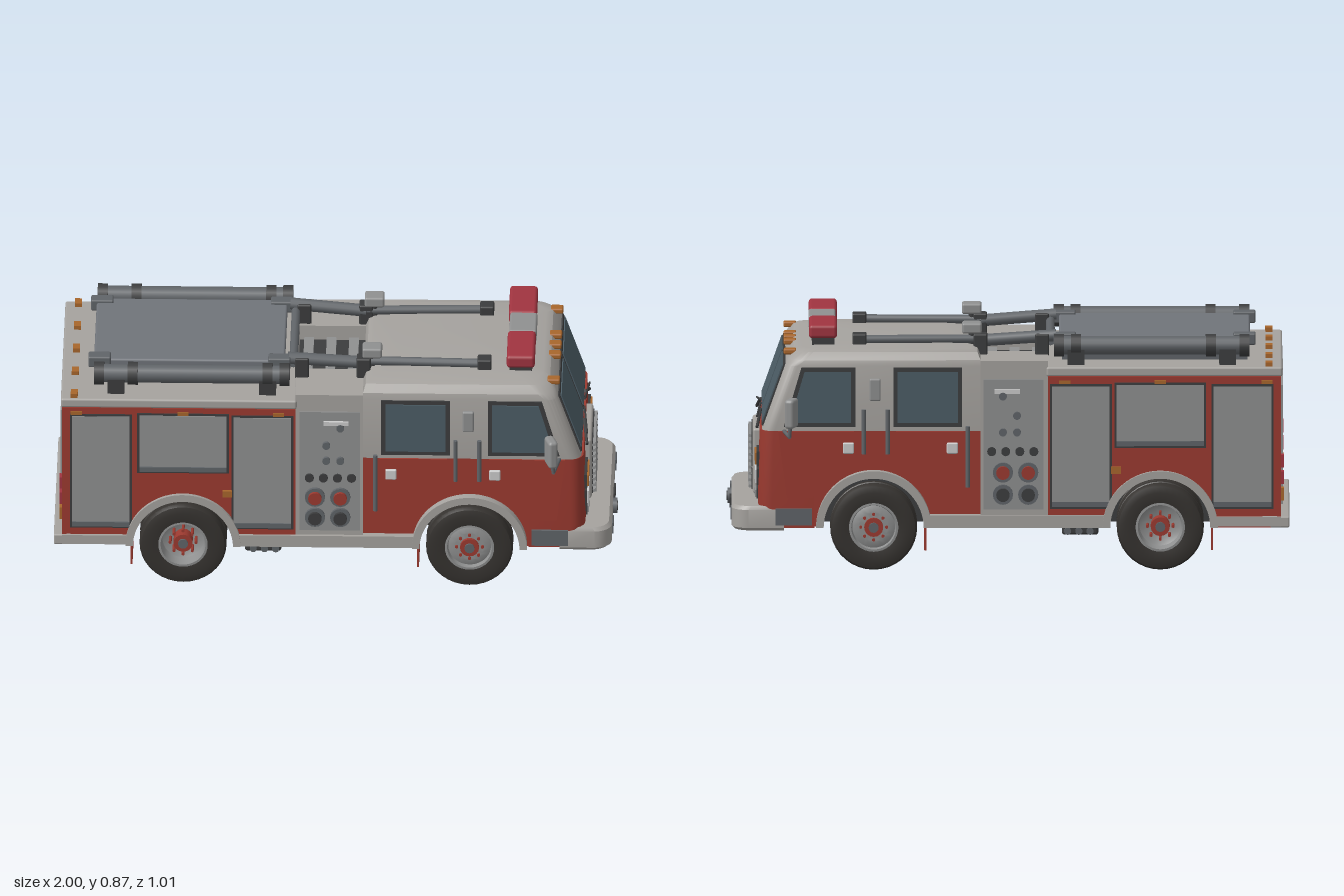
import * as THREE from 'three';
import { toCreasedNormals } from 'three/addons/utils/BufferGeometryUtils.js';
import { RoundedBoxGeometry } from 'three/addons/geometries/RoundedBoxGeometry.js';

const paint = (color) => new THREE.MeshStandardMaterial({ color, side: THREE.DoubleSide });
const M = {
  red: paint(0x9c3a30), grey: paint(0xa5a29e), panel: paint(0x8f9090), dark: paint(0x3c3d3e), steel: paint(0x606468),
  tyre: paint(0x35322f), glass: paint(0x4c5d66), amber: paint(0xa8662c), lamp: paint(0xc4c4c0), beacon: paint(0xa03440), cover: paint(0x70747a),
};
const WHEEL_Y = 0.155, FRONT_X = 0.48, REAR_X = -0.54;

export function createModel() {
  const root = new THREE.Group();
  const add = (name, geo, mat, x = 0, y = 0, z = 0) => {
    const m = new THREE.Mesh(geo, mat);
    m.name = name;
    m.position.set(x, y, z);
    root.add(m);
    return m;
  };
  // Box given by its min and max on each axis
  const box = (name, mat, x0, x1, y0, y1, z0, z1, r = 0) => {
    const s = [x1 - x0, y1 - y0, Math.abs(z1 - z0)];
    return add(name, r ? new RoundedBoxGeometry(...s, 2, r) : new THREE.BoxGeometry(...s), mat, (x0 + x1) / 2, (y0 + y1) / 2, (z0 + z1) / 2);
  };
  const rod = (name, mat, a, b, r, sides = 10) => {
    const p = new THREE.Vector3(...a), q = new THREE.Vector3(...b), d = q.clone().sub(p);
    const m = add(name, new THREE.CylinderGeometry(r, r, d.length(), sides), mat);
    m.position.copy(p).add(q).multiplyScalar(0.5);
    m.quaternion.setFromUnitVectors(new THREE.Vector3(0, 1, 0), d.normalize());
    return m;
  };
  const plate = (name, mat, shape, z0, z1) => {
    const g = new THREE.ExtrudeGeometry(shape, { depth: Math.abs(z1 - z0), bevelEnabled: false, curveSegments: 20 });
    return add(name, toCreasedNormals(g, 0.6), mat, 0, 0, Math.min(z0, z1));
  };
  const poly = (pts) => new THREE.Shape(pts.map((p) => new THREE.Vector2(...p)));
  const both = (fn) => [1, -1].forEach(fn);

  // Lower side profile with a wheel arch cut from the bottom edge
  const archProfile = (x0, x1, top, cx, r) => {
    const s = new THREE.Shape();
    s.moveTo(x0, WHEEL_Y);
    s.lineTo(cx - r, WHEEL_Y);
    s.absarc(cx, WHEEL_Y, r, Math.PI, 0, true);
    s.lineTo(x1, WHEEL_Y);
    s.lineTo(x1, top);
    s.lineTo(x0, top);
    return s;
  };
  // Stacked plan sections [y, back x, front x, half width, front corner radius]
  const loft = (name, mat, rings) => {
    const pos = [], idx = [], K = 6, n = 2 * K + 4;
    for (const [y, xb, xf, h, r] of rings) {
      pos.push(xb, y, -h, xb, y, h);
      both((s) => {
        for (let k = 0; k <= K; k++) {
          const a = (s > 0 ? 1 - k / K : k / K) * Math.PI / 2;
          pos.push(xf - r + r * Math.cos(a), y, s * (h - r + r * Math.sin(a)));
        }
      });
    }
    for (let j = 0; j < rings.length - 1; j++) for (let i = 0; i < n; i++) {
      const a = j * n + i, b = j * n + (i + 1) % n;
      idx.push(a, b, b + n, a, b + n, a + n);
    }
    const t = (rings.length - 1) * n;
    for (let i = 1; i < n - 1; i++) idx.push(t, t + i, t + i + 1, 0, i + 1, i);
    const g = new THREE.BufferGeometry();
    g.setAttribute('position', new THREE.Float32BufferAttribute(pos, 3));
    g.setIndex(idx);
    return add(name, toCreasedNormals(g, 0.5), mat);
  };

  // Rear body, with a raised rim round the roof deck
  box('bodyCore', M.dark, -0.965, 0.1, 0.15, 0.7, -0.175, 0.175);
  box('rearRoof', M.grey, -0.975, -0.135, 0.7, 0.735, -0.39, 0.39, 0.008);
  box('rearWall', M.red, -0.97, -0.955, 0.17, 0.71, -0.384, 0.384);
  box('rearStep', M.grey, -1, -0.93, 0.155, 0.195, -0.39, 0.39, 0.006);
  both((s) => {
    plate('bodySide', M.red, archProfile(-0.965, -0.14, 0.71, REAR_X, 0.18), s * 0.17, s * 0.383);
    // Roller shutters with surrounding trim
    for (const [x0, x1, y0, y1] of [[-0.935, -0.73, 0.23, 0.665], [-0.695, -0.385, 0.45, 0.67], [-0.36, -0.155, 0.23, 0.665]]) {
      box('shutterFrame', M.dark, x0 - 0.008, x1 + 0.008, y0 - 0.008, y1 + 0.008, s * 0.38, s * 0.386);
      box('shutter', M.panel, x0, x1, y0, y1, s * 0.38, s * 0.389);
      box('shutterBar', M.steel, x0, x1, y0, y0 + 0.018, s * 0.38, s * 0.394);
    }
    box('sideRail', M.grey, -0.97, -0.73, 0.16, 0.195, s * 0.37, s * 0.394);
    box('sideRail', M.grey, -0.345, 0.29, 0.155, 0.2, s * 0.35, s * 0.392);
    box('roofTrim', M.red, -0.97, -0.14, 0.685, 0.702, s * 0.375, s * 0.391);
    for (const x of [-0.92, -0.54, -0.2]) box('sideMarker', M.amber, x - 0.02, x + 0.02, 0.675, 0.688, s * 0.38, s * 0.396);
    box('sideLamp', M.amber, -0.4, -0.365, 0.35, 0.375, s * 0.38, s * 0.393);
    // Back doors and tail lamps
    box('backShutter', M.panel, -0.977, -0.965, 0.23, 0.66, s * 0.02, s * 0.33);
    for (const y of [0.25, 0.31, 0.37]) box('tailLamp', y > 0.3 ? M.beacon : M.amber, -0.98, -0.965, y, y + 0.045, s * 0.342, s * 0.375);
  });
  for (const z of [-0.36, -0.18, 0, 0.18, 0.36]) box('rearMarker', M.amber, -0.94, -0.915, 0.73, 0.75, z - 0.02, z + 0.02);

  // Pump section: side panels around a sunken walkway
  box('walkwayFloor', M.steel, -0.14, 0.105, 0.6, 0.69, -0.26, 0.26);
  for (const x of [-0.12, -0.04, 0.04]) box('walkwayStep', M.panel, x, x + 0.035, 0.68, 0.71, -0.25, 0.25);
  both((s) => {
    box('pumpPanel', M.grey, -0.14, 0.1, 0.16, 0.755, s * 0.17, s * 0.38);
    box('pumpFace', M.panel, -0.125, 0.09, 0.22, 0.69, s * 0.37, s * 0.386);
    const knob = (name, mat, x, y, r, d) => rod(name, mat, [x, y, s * 0.38], [x, y, s * (0.386 + d)], r, 16);
    for (const x of [-0.07, 0.02]) for (const y of [0.275, 0.355]) {
      knob('outletRing', M.steel, x, y, 0.036, 0.012);
      knob('outletCap', y > 0.3 ? M.red : M.dark, x, y, 0.024, 0.024);
    }
    for (let i = 0; i < 4; i++) knob('gauge', M.dark, -0.09 + 0.05 * i, 0.43, 0.016, 0.008);
    for (const [x, y] of [[-0.03, 0.5], [0.02, 0.5], [-0.03, 0.56], [0.02, 0.63]]) knob('valve', M.steel, x, y, 0.014, 0.012);
    box('controlBox', M.lamp, -0.04, 0.05, 0.64, 0.655, s * 0.38, s * 0.395);
    rod('grabRail', M.steel, [0.145, 0.3, s * 0.385], [0.145, 0.52, s * 0.385], 0.008);
  });

  // Cab: red lower half, raked grey upper half and soft-edged roof
  box('cabCore', M.dark, 0.1, 0.72, 0.15, 0.49, -0.175, 0.175);
  loft('cabNose', M.red, [[0.15, 0.69, 0.88, 0.362, 0.05], [0.24, 0.69, 0.892, 0.365, 0.05], [0.5, 0.69, 0.885, 0.365, 0.05]]);
  loft('cabUpper', M.grey, [[0.5, 0.1, 0.878, 0.365, 0.045], [0.735, 0.1, 0.795, 0.365, 0.045], [0.755, 0.1, 0.785, 0.36, 0.06],
    [0.78, 0.11, 0.765, 0.335, 0.07], [0.788, 0.13, 0.74, 0.3, 0.07], [0.795, 0.24, 0.64, 0.18, 0.06]]);
  both((s) => {
    plate('cabSide', M.red, archProfile(0.1, 0.692, 0.5, FRONT_X, 0.18), s * 0.17, s * 0.365);
    // Doors and side glass
    plate('rearDoor', M.red, poly([[0.16, 0.21], [0.27, 0.21], [0.32, 0.33], [0.4, 0.39], [0.4, 0.5], [0.16, 0.5]]), s * 0.36, s * 0.372);
    plate('frontDoor', M.red, poly([[0.55, 0.39], [0.64, 0.35], [0.7, 0.26], [0.79, 0.26], [0.82, 0.5], [0.55, 0.5]]), s * 0.36, s * 0.372);
    plate('windowFrame', M.dark, poly([[0.165, 0.515], [0.41, 0.515], [0.41, 0.73], [0.165, 0.73]]), s * 0.36, s * 0.37);
    plate('rearWindow', M.glass, poly([[0.18, 0.53], [0.395, 0.53], [0.395, 0.715], [0.18, 0.715]]), s * 0.36, s * 0.374);
    plate('windowFrame', M.dark, poly([[0.545, 0.515], [0.8, 0.515], [0.737, 0.73], [0.545, 0.73]]), s * 0.36, s * 0.37);
    plate('frontWindow', M.glass, poly([[0.56, 0.53], [0.78, 0.53], [0.726, 0.715], [0.56, 0.715]]), s * 0.36, s * 0.374);
    for (const x of [0.2, 0.57]) box('doorHandle', M.lamp, x - 0.02, x + 0.02, 0.42, 0.46, s * 0.36, s * 0.382, 0.005);
    rod('grabRail', M.steel, [0.43, 0.42, s * 0.383], [0.43, 0.58, s * 0.383], 0.008);
    rod('grabRail', M.steel, [0.515, 0.42, s * 0.383], [0.515, 0.58, s * 0.383], 0.008);
    box('cabVent', M.panel, 0.455, 0.495, 0.61, 0.69, s * 0.36, s * 0.378, 0.006);
    box('cabStep', M.steel, 0.7, 0.83, 0.16, 0.22, s * 0.34, s * 0.373);
    // Windscreen panes and wipers
    const rake = (name, mat, y, h, w, d) => {
      box(name, mat, -d / 2, d / 2, -h / 2, h / 2, s * (0.165 - w / 2), s * (0.165 + w / 2))
        .position.set(0.878 - (y - 0.5) * 0.353, y, s * 0.165);
      root.children.at(-1).rotation.z = 0.34;
    };
    rake('screenSeal', M.dark, 0.625, 0.238, 0.318, 0.01);
    rake('windscreen', M.glass, 0.625, 0.215, 0.296, 0.018);
    rod('wiper', M.dark, [0.895, 0.49, s * 0.22], [0.882, 0.535, s * 0.11], 0.006, 6);
    rod('wiperBlade', M.dark, [0.895, 0.525, s * 0.2], [0.882, 0.545, s * 0.03], 0.004, 6);
    // Lamps
    [[0.37, 0.412, M.amber], [0.303, 0.35, M.lamp], [0.247, 0.272, M.panel]].forEach(([y0, y1, mat], i) => {
      const z0 = i === 2 ? 0.19 : 0.185, z1 = i === 2 ? 0.275 : 0.315;
      box('lampBezel', M.dark, 0.87, 0.897, y0 - 0.006, y1 + 0.006, s * (z0 - 0.006), s * (z1 + 0.006));
      box('headLamp', mat, 0.88, 0.903, y0, y1, s * z0, s * z1);
    });
    // Mirrors
    rod('mirrorArm', M.steel, [0.8, 0.5, s * 0.36], [0.78, 0.495, s * 0.46], 0.007);
    rod('mirrorArm', M.steel, [0.78, 0.495, s * 0.46], [0.775, 0.56, s * 0.465], 0.007);
    box('mirror', M.panel, 0.755, 0.79, 0.53, 0.635, s * 0.436, s * 0.506, 0.012).rotation.y = s * 0.3;
  });
  for (const z of [-0.28, -0.08, 0, 0.08, 0.28]) box('cabMarker', M.amber, 0.755, 0.8, 0.765, 0.785, z - 0.02, z + 0.02, 0.006);

  // Grille
  box('grilleSurround', M.grey, 0.87, 0.91, 0.235, 0.472, -0.147, 0.147, 0.01);
  box('grilleBack', M.dark, 0.9, 0.914, 0.25, 0.457, -0.13, 0.13);
  for (let i = 0; i < 9; i++) box('grilleSlat', M.panel, 0.9, 0.925, 0.254 + i * 0.0228, 0.264 + i * 0.0228, -0.13, 0.13).rotation.z = 0.2;

  // Front bumper
  loft('bumper', M.grey, [[0.14, 0.8, 0.975, 0.358, 0.06], [0.15, 0.8, 0.985, 0.365, 0.06], [0.215, 0.8, 0.985, 0.365, 0.06], [0.228, 0.8, 0.975, 0.358, 0.06]]);
  box('bumperPlate', M.dark, 0.97, 0.992, 0.168, 0.204, -0.042, 0.042);
  rod('bumperHorn', M.steel, [0.97, 0.187, 0.1], [1, 0.187, 0.1], 0.028, 16);
  rod('hornCentre', M.dark, [0.98, 0.187, 0.1], [1.003, 0.187, 0.1], 0.017, 16);
  for (const z of [0.25, -0.25]) box('bumperLamp', M.steel, 0.97, 0.99, 0.166, 0.208, z - 0.033, z + 0.033);

  // Light bar
  box('lightBarBase', M.dark, 0.62, 0.7, 0.785, 0.825, -0.24, 0.24);
  both((s) => box('lightBar', M.beacon, 0.61, 0.71, 0.82, 0.868, s * 0.072, s * 0.285, 0.012));
  box('lightBarCentre', M.panel, 0.615, 0.712, 0.82, 0.866, -0.074, 0.074, 0.008);

  // Hose bed cover and roof equipment
  box('hoseBed', M.steel, -0.85, -0.19, 0.73, 0.8, -0.235, 0.235);
  box('hoseCover', M.cover, -0.86, -0.18, 0.795, 0.822, -0.243, 0.243, 0.008);
  both((s) => {
    for (const x of [-0.84, -0.2]) box('coverBracket', M.steel, x - 0.04, x + 0.04, 0.79, 0.832, s * 0.2, s * 0.25, 0.006);
    rod('hoseTube', M.steel, [-0.84, 0.8, s * 0.31], [-0.19, 0.8, s * 0.31], 0.033, 16);
    for (const x of [-0.84, -0.72, -0.24, -0.18]) rod('tubeCollar', M.dark, [x - 0.018, 0.8, s * 0.31], [x + 0.018, 0.8, s * 0.31], 0.041, 16);
    for (const x of [-0.78, -0.24]) box('tubeStand', M.dark, x - 0.03, x + 0.03, 0.73, 0.79, s * 0.275, s * 0.345);
    rod('roofPole', M.steel, [-0.17, 0.82, s * 0.215], [0.1, 0.8, s * 0.205], 0.022, 12);
    rod('roofPole', M.steel, [0.1, 0.805, s * 0.2], [0.55, 0.805, s * 0.215], 0.016, 12);
    for (const x of [-0.12, 0.1, 0.53]) box('poleClamp', M.dark, x - 0.025, x + 0.025, 0.75, 0.828, s * 0.185, s * 0.24, 0.006);
    rod('floodStem', M.dark, [0.13, 0.78, s * 0.2], [0.13, 0.84, s * 0.2], 0.012);
    box('floodLamp', M.panel, 0.095, 0.165, 0.828, 0.866, s * 0.17, s * 0.235, 0.008);
  });
  rod('crossPole', M.steel, [-0.15, 0.8, -0.22], [-0.15, 0.8, 0.22], 0.016);

  // Wheels: single at the front, double at the rear
  const lathe = (pts) => toCreasedNormals(new THREE.LatheGeometry(pts.map((p) => new THREE.Vector2(...p)), 36), 0.5);
  const tyre = lathe([[0.088, -0.048], [0.125, -0.053], [0.148, -0.047], [0.155, -0.034], [0.155, -0.012], [0.15, -0.009],
    [0.15, 0.009], [0.155, 0.012], [0.155, 0.034], [0.148, 0.047], [0.125, 0.053], [0.088, 0.048]]);
  const rims = {
    front: lathe([[0.09, -0.045], [0.09, 0.046], [0.08, 0.047], [0.076, 0.03], [0.055, 0.038], [0.05, 0.038], [0, 0.038]]),
    rear: lathe([[0.09, -0.045], [0.09, 0.046], [0.08, 0.047], [0.074, 0], [0.05, -0.012], [0, -0.012]]),
  };
  const arch = (cx) => {
    const s = new THREE.Shape();
    s.absarc(cx, WHEEL_Y, 0.205, 0, Math.PI, false);
    s.absarc(cx, WHEEL_Y, 0.178, Math.PI, 0, true);
    return s;
  };
  both((s) => {
    for (const [kind, x, zs] of [['front', FRONT_X, [0.335]], ['rear', REAR_X, [0.333, 0.228]]]) {
      for (const z of zs) for (const [name, geo, mat] of [['tyre', tyre, M.tyre], ['rim', rims[kind], M.panel]])
        add(kind + name, geo, mat, x, WHEEL_Y, s * z).rotation.x = s * Math.PI / 2;
      const hub = kind === 'front' ? 0.385 : 0.37;
      rod('hub', M.red, [x, WHEEL_Y, s * 0.3], [x, WHEEL_Y, s * hub], 0.034, 16);
      rod('hubCap', M.steel, [x, WHEEL_Y, s * 0.3], [x, WHEEL_Y, s * (hub + 0.008)], 0.018, 12);
      for (let i = 0; i < 8; i++) {
        const a = i * Math.PI / 4, nx = x + 0.046 * Math.cos(a), ny = WHEEL_Y + 0.046 * Math.sin(a);
        rod('wheelNut', M.red, [nx, ny, s * 0.31], [nx, ny, s * (hub - 0.005)], 0.006, 6);
      }
      plate('fender', M.grey, arch(x), s * 0.35, s * 0.397);
      box('mudFlap', M.red, x - 0.188, x - 0.18, 0.07, 0.18, s * 0.22, s * 0.37);
    }
  });

  // Underside
  box('floorPlate', M.dark, -0.96, 0.88, 0.14, 0.152, -0.175, 0.175);
  for (const x of [FRONT_X, REAR_X]) {
    rod('axle', M.dark, [x, WHEEL_Y, -0.3], [x, WHEEL_Y, 0.3], 0.03);
    add('differential', new THREE.SphereGeometry(0.06, 16, 10), M.dark, x, WHEEL_Y, 0);
  }
  rod('driveShaft', M.dark, [REAR_X, 0.135, 0], [-0.2, 0.145, 0], 0.02);
  both((s) => {
    box('underTank', M.dark, -0.32, -0.19, 0.125, 0.16, s * 0.26, s * 0.37, 0.01);
    for (const x of [-0.29, -0.25, -0.21]) rod('drainPipe', M.steel, [x, 0.14, s * 0.3], [x, 0.14, s * 0.38], 0.013);
  });
  box('frontCrossmember', M.dark, 0.74, 0.86, 0.105, 0.15, -0.08, 0.08, 0.015);
  return root;
}
